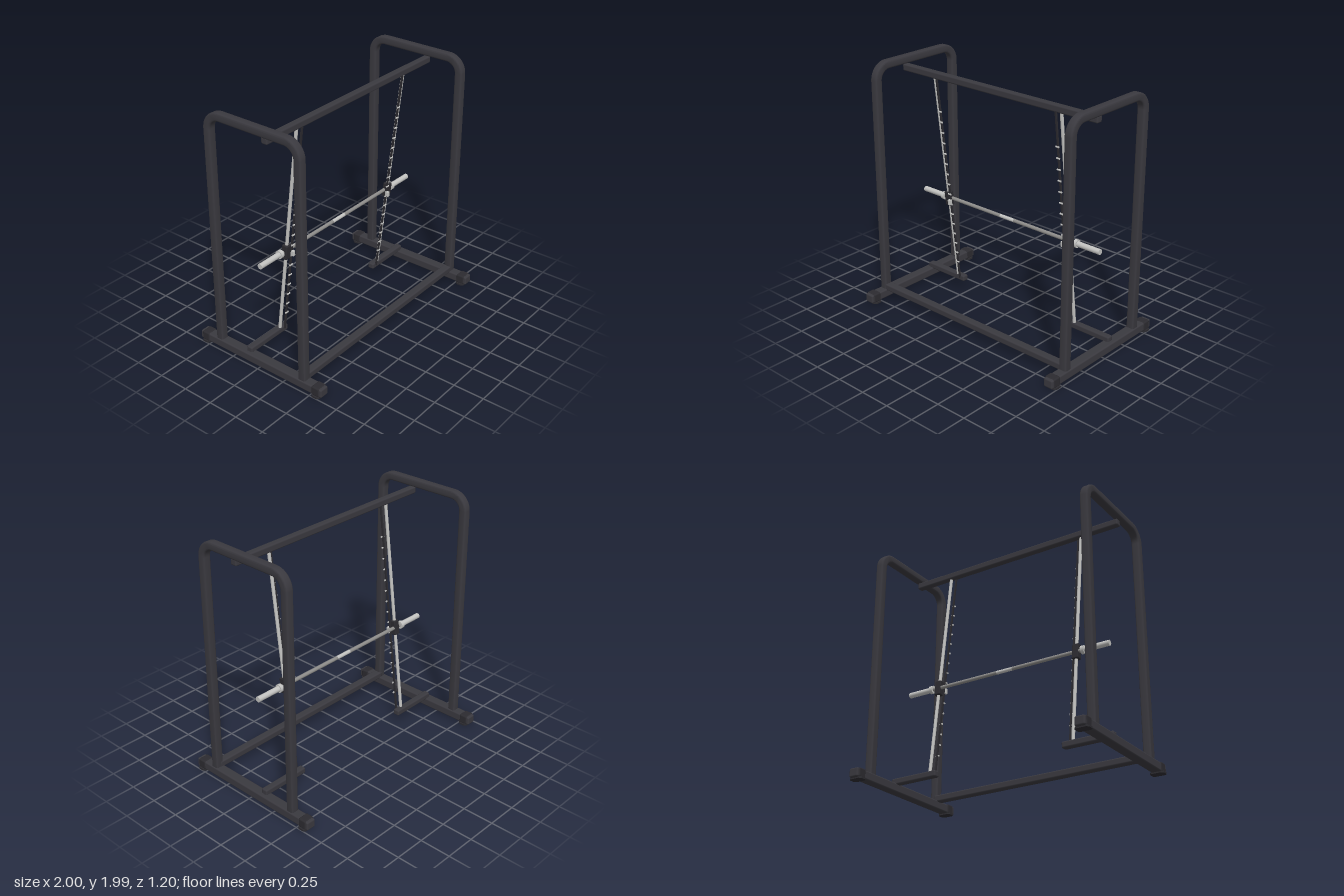
import * as THREE from 'three';
import { RoundedBoxGeometry } from 'three/addons/geometries/RoundedBoxGeometry.js';
import { toCreasedNormals } from 'three/addons/utils/BufferGeometryUtils.js';

const mat = (name, color) => new THREE.MeshStandardMaterial({ name, color });

export function createModel() {
  const model = new THREE.Group();
  model.name = 'barbellRack';

  const frame = mat('charcoal frame', 0x3a393f);
  const rubber = mat('black rubber', 0x2c2b30);
  const steel = mat('bright steel', 0xc2c2c0);
  const grip = mat('knurled steel', 0x8c8b89);

  const add = (parent, name, geometry, material, x = 0, y = 0, z = 0) => {
    const mesh = new THREE.Mesh(geometry, material);
    mesh.name = name;
    mesh.position.set(x, y, z);
    parent.add(mesh);
    return mesh;
  };
  const beam = (w, h, d, r = 0.012) => new RoundedBoxGeometry(w, h, d, 2, r);
  const rodX = (r, length) => new THREE.CylinderGeometry(r, r, length, 20).rotateZ(Math.PI / 2);

  // Arch outline in (z, y), bevelled along its edges
  const bevel = 0.014;
  const archGeometry = () => {
    const out = 0.44 - bevel, inn = 0.376 + bevel, top = 1.985 - bevel, under = 1.921 + bevel;
    const R = 0.145 - bevel, r = 0.081 + bevel, foot = 0.07;
    const s = new THREE.Shape();
    s.moveTo(out, foot);
    s.lineTo(out, top - R);
    s.absarc(out - R, top - R, R, 0, Math.PI / 2, false);
    s.lineTo(-out + R, top);
    s.absarc(-out + R, top - R, R, Math.PI / 2, Math.PI, false);
    s.lineTo(-out, foot);
    s.lineTo(-inn, foot);
    s.lineTo(-inn, under - r);
    s.absarc(-inn + r, under - r, r, Math.PI, Math.PI / 2, true);
    s.lineTo(inn - r, under);
    s.absarc(inn - r, under - r, r, Math.PI / 2, 0, true);
    s.lineTo(inn, foot);
    const depth = 0.066 - 2 * bevel;
    const g = new THREE.ExtrudeGeometry(s, {
      depth, curveSegments: 12, bevelThickness: bevel, bevelSize: bevel, bevelSegments: 3,
    });
    g.translate(0, 0, -depth / 2).rotateY(-Math.PI / 2);
    return toCreasedNormals(g, 0.6);
  };

  // Thin foot plate with cut corners
  const plateGeometry = () => {
    const w = 0.055, d = 0.037, c = 0.016;
    const s = new THREE.Shape([
      [w - c, -d], [w, -d + c], [w, d - c], [w - c, d],
      [-w + c, d], [-w, d - c], [-w, -d + c], [-w + c, -d],
    ].map(([x, y]) => new THREE.Vector2(x, y)));
    return new THREE.ExtrudeGeometry(s, { depth: 0.014, bevelEnabled: false }).rotateX(-Math.PI / 2);
  };

  // Crossbars joining both sides
  add(model, 'topCrossbar', beam(1.9, 0.055, 0.055), frame, 0, 1.889, 0.102);
  add(model, 'bottomCrossbar', beam(1.88, 0.055, 0.066), frame, 0, 0.096, 0.405);

  const arch = archGeometry();
  const plate = plateGeometry();

  for (const side of [1, -1]) {
    const half = new THREE.Group();
    half.name = side > 0 ? 'leftSide' : 'rightSide';
    model.add(half);
    const x = side * 0.945;

    // Side frame and feet
    add(half, 'archedUpright', arch, frame, x);
    add(half, 'baseBeam', beam(0.08, 0.07, 1.2), frame, x, 0.045, 0);
    for (const end of [1, -1]) {
      add(half, 'footPlate', plate, rubber, x, 0, end * 0.545);
      add(half, 'footCap', beam(0.09, 0.075, 0.07), rubber, x, 0.0465, end * 0.545);
    }
    add(half, 'rearStub', beam(0.41, 0.05, 0.055), frame, side * 0.75, 0.095, -0.12);

    // Leaning guide: rod, catch strip, pegs and sliding carriage
    const guide = new THREE.Group();
    guide.name = 'guide';
    guide.position.set(side * 0.619, 0.985, -0.004);
    guide.rotation.x = Math.atan2(0.215, 1.77);
    half.add(guide);
    add(guide, 'guideRod', new THREE.CylinderGeometry(0.013, 0.013, 1.78, 20), steel);
    add(guide, 'catchStrip', new THREE.BoxGeometry(0.012, 1.78, 0.014), rubber, -side * 0.035, 0, 0.02);
    for (let i = 0; i < 16; i++) {
      add(guide, 'catchPeg', rodX(0.007, 0.028), steel, -side * 0.036, -0.731 + i * 0.0902, 0.026);
    }
    add(guide, 'carriage', beam(0.054, 0.122, 0.05, 0.008), rubber, 0, -0.152, 0);

    // Latch and weight sleeve of the bar
    add(half, 'latch', beam(0.024, 0.045, 0.03, 0.005), steel, side * 0.583, 0.815, 0.01);
    add(half, 'sleeve', rodX(0.022, 0.22), steel, side * 0.787, 0.835, -0.03);
    add(half, 'sleeveCollar', rodX(0.032, 0.026), steel, side * 0.68, 0.835, -0.03);
    add(half, 'barGrip', rodX(0.0145, 0.6), grip, side * 0.37, 0.835, -0.03);
  }

  // Smooth middle of the bar
  add(model, 'barCentre', rodX(0.0145, 0.14), steel, 0, 0.835, -0.03);

  return model;
}
